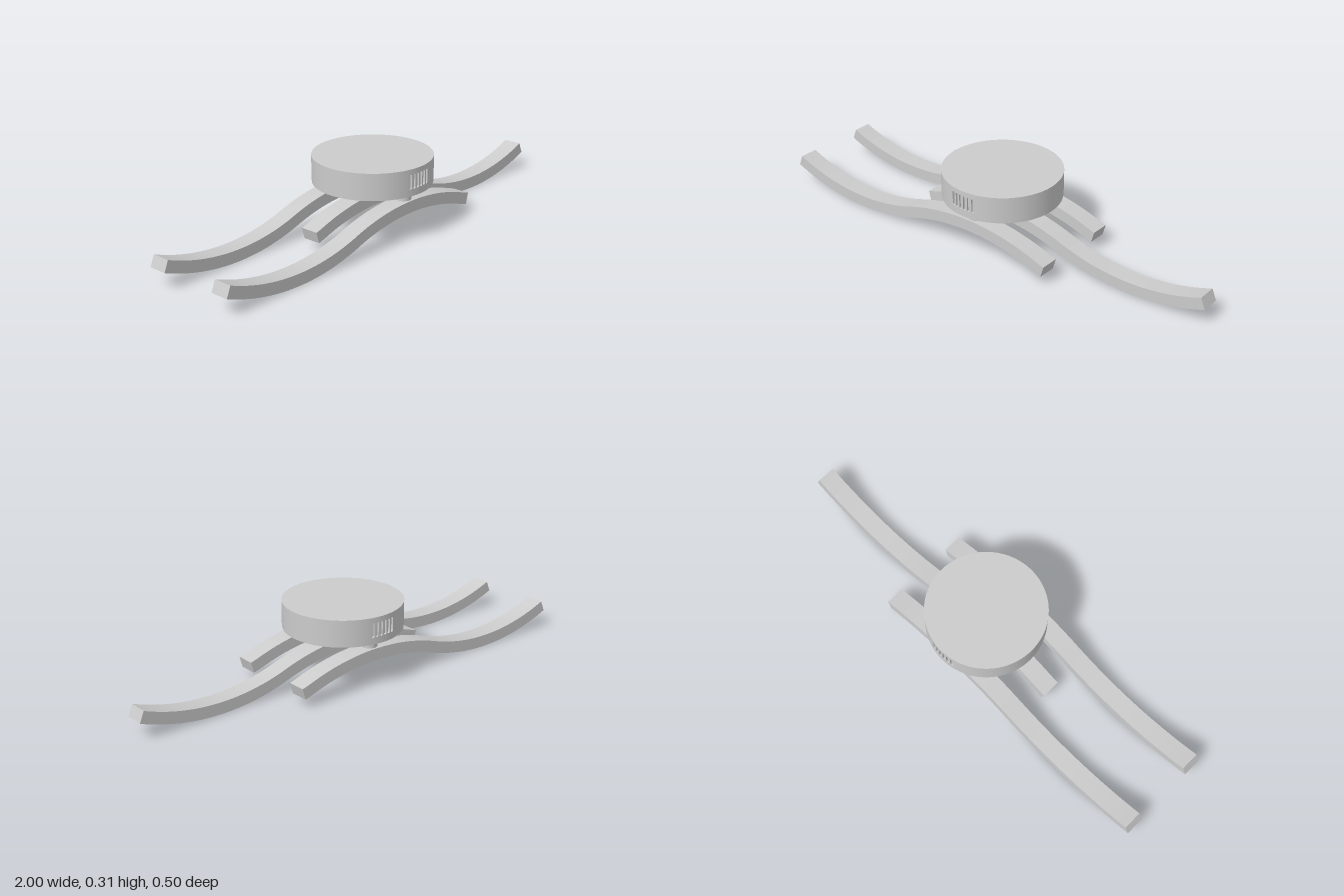
import * as THREE from 'three';
import { toCreasedNormals } from 'three/addons/utils/BufferGeometryUtils.js';

const material = new THREE.MeshStandardMaterial({ color: 0xcccccc });
const wallMaterial = new THREE.MeshStandardMaterial({ color: 0xcccccc, side: THREE.DoubleSide });

const R = 0.25, FLOOR = 0.205, TOP = 0.31; // canopy
const BAYS = 6, BAY = 0.08;                // vent bays and the angle each one spans
const BAR_WIDTH = 0.08, SEAM = -0.007;     // wave bars, seam between frame and diffuser

function add(parent, name, geometry, mat = material) {
  const mesh = new THREE.Mesh(geometry, mat);
  mesh.name = name;
  parent.add(mesh);
  return mesh;
}

// Centreline of a wave: one crest arc flowing into a trough arc on each side
function wave(x) {
  const crest = 0.983, trough = 0.96, a = Math.abs(x), s = Math.sign(x);
  if (a < 0.3188) {
    const p = Math.asin(x / crest);
    return { y: 0.13 - crest * (1 - Math.cos(p)), slope: -p };
  }
  const p = Math.asin((a - 0.63) / trough);
  return { y: 0.025 + trough * (1 - Math.cos(p)), slope: p * s };
}

// Strip between two offsets from the centreline, extruded across the bar
function waveStrip(low, high) {
  const n = 64, x0 = -0.368, x1 = 0.9905;
  const edge = (offset) => Array.from({ length: n + 1 }, (_, i) => {
    const x = x0 + (x1 - x0) * i / n;
    const { y, slope } = wave(x);
    return new THREE.Vector2(x - Math.sin(slope) * offset, y + Math.cos(slope) * offset);
  });
  const shape = new THREE.Shape([...edge(low), ...edge(high).reverse()]);
  const geometry = new THREE.ExtrudeGeometry(shape, { depth: BAR_WIDTH, bevelEnabled: false });
  geometry.translate(0, 0, -BAR_WIDTH / 2);
  return toCreasedNormals(geometry, 0.5);
}

// One bay of canopy wall with a rounded slot, bent around the canopy
function ventBay(angle) {
  const w = BAY * R / 2, r = 0.0065, y0 = 0.226, y1 = 0.29;
  const shape = new THREE.Shape();
  shape.moveTo(-w, FLOOR).lineTo(w, FLOOR).lineTo(w, TOP).lineTo(-w, TOP).closePath();
  const slot = new THREE.Path();
  slot.absarc(0, y1 - r, r, 0, Math.PI, false);
  slot.absarc(0, y0 + r, r, Math.PI, 2 * Math.PI, false);
  slot.closePath();
  shape.holes.push(slot);
  const geometry = new THREE.ExtrudeGeometry(shape, { depth: 0.008, bevelEnabled: false, curveSegments: 8 });
  const p = geometry.attributes.position;
  for (let i = 0; i < p.count; i++) {
    const t = angle + p.getX(i) / R, rad = R - 0.008 + p.getZ(i);
    p.setXYZ(i, Math.sin(t) * rad, p.getY(i), Math.cos(t) * rad);
  }
  geometry.computeVertexNormals();
  return geometry;
}

function makeCanopy() {
  const canopy = new THREE.Group();
  canopy.name = 'canopy';
  const height = TOP - FLOOR, half = BAYS * BAY / 2;

  // Plain wall on the left and right, slotted wall at front and back
  for (const [side, start] of [['left', 0], ['right', Math.PI]]) {
    const wall = new THREE.CylinderGeometry(R, R, height, 48, 1, true, start + half, Math.PI - 2 * half);
    add(canopy, side + 'Wall', wall, wallMaterial).position.y = (TOP + FLOOR) / 2;
  }
  for (const [side, turn] of [['front', 0], ['back', Math.PI]])
    for (let i = 0; i < BAYS; i++)
      add(canopy, side + 'Vent' + (i + 1), ventBay(turn + (i - (BAYS - 1) / 2) * BAY));

  // Core behind the slots
  add(canopy, 'core', new THREE.CylinderGeometry(R - 0.01, R - 0.01, height - 0.002, 96, 1, true))
    .position.y = (TOP + FLOOR) / 2;

  // Flat cover on top
  const cover = new THREE.CircleGeometry(R, 96);
  cover.rotateX(-Math.PI / 2);
  add(canopy, 'cover', cover, wallMaterial).position.y = TOP;

  // Mounting plate underneath
  add(canopy, 'mountingPlate', new THREE.CylinderGeometry(R - 0.001, R - 0.001, 0.009, 96))
    .position.y = FLOOR - 0.0045;
  return canopy;
}

// Wave bar: metal frame above, light diffuser below, hung on a short stem
function makeArm(name) {
  const arm = new THREE.Group();
  arm.name = name;
  add(arm, 'frame', waveStrip(SEAM, 0.025));
  add(arm, 'diffuser', waveStrip(-0.025, SEAM));
  add(arm, 'stem', new THREE.CylinderGeometry(0.031, 0.031, 0.048, 32)).position.y = 0.176;
  return arm;
}

export function createModel() {
  const model = new THREE.Group();
  model.name = 'ceilingLamp';
  model.add(makeCanopy());

  // The middle arm reaches left, the outer two are turned to reach right
  for (const [name, z, turn] of [['frontArm', 0.168, Math.PI], ['middleArm', 0, 0], ['backArm', -0.168, Math.PI]]) {
    const arm = makeArm(name);
    arm.position.z = z;
    arm.rotation.y = turn;
    model.add(arm);
  }
  return model;
}
